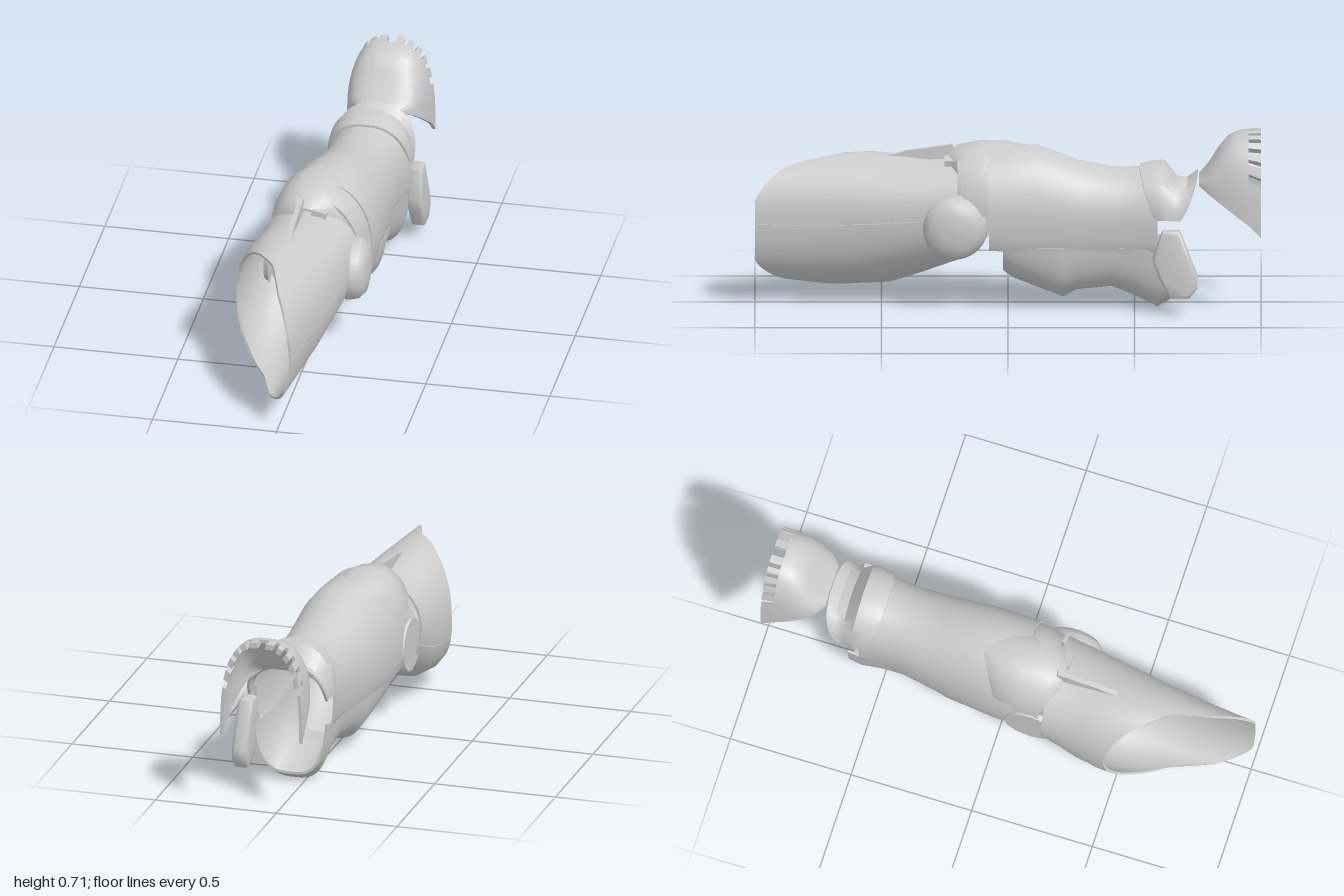
import * as THREE from 'three';
import { toCreasedNormals } from 'three/addons/utils/BufferGeometryUtils.js';

const grey = new THREE.MeshStandardMaterial({ color: 0xcccccc, side: THREE.DoubleSide });
const rad = THREE.MathUtils.degToRad;

// Piecewise linear lookup in [[key, value], ...] with rising keys
function lookup(table, k) {
  for (let i = 1; i < table.length; i++) {
    const [k0, v0] = table[i - 1], [k1, v1] = table[i];
    if (k <= k1) return v0 + (v1 - v0) * Math.max(0, (k - k0) / (k1 - k0));
  }
  return table[table.length - 1][1];
}

// Point of a section [z, cx, rx, cy, top radius, bottom radius] at an angle
function sectionPoint([z, cx, rx, cy, top, bottom], a, power, inset) {
  const c = Math.cos(a), s = Math.sin(a);
  const ry = s > 0 ? top : bottom;
  const bend = v => Math.sign(v) * Math.pow(Math.abs(v), power);
  return new THREE.Vector3(cx + (rx - inset) * bend(c), cy + (ry - inset) * bend(s), z);
}

// Plate with thickness, lofted through sections over an arc of angles (degrees)
function plate(name, sections, from, to, { power = 1, wall = 0.01, warp = null, steps = 40 } = {}) {
  const rows = [...sections.map(s => [s, 0]), ...sections.slice().reverse().map(s => [s, wall])];
  const pos = [], index = [], w = steps + 1, n = sections.length;
  for (const [section, inset] of rows) {
    for (let i = 0; i <= steps; i++) {
      const a = rad(from + (to - from) * i / steps);
      const p = sectionPoint(section, a, power, inset);
      if (warp) warp(p, a);
      pos.push(p.x, p.y, p.z);
    }
  }
  // skin, wrapped over both end rims
  for (let r = 0; r < rows.length; r++) {
    const q = (r + 1) % rows.length;
    for (let i = 0; i < steps; i++) {
      const a = r * w + i, b = q * w + i;
      index.push(a, a + 1, b, b, a + 1, b + 1);
    }
  }
  // strips closing the two long edges
  for (let r = 0; r < n - 1; r++) {
    const inner = rows.length - 1 - r;
    const e = [r * w, (r + 1) * w, inner * w, (inner - 1) * w];
    index.push(e[0], e[1], e[2], e[2], e[1], e[3]);
    const f = e.map(v => v + steps);
    index.push(f[0], f[2], f[1], f[2], f[3], f[1]);
  }
  const g = new THREE.BufferGeometry();
  g.setAttribute('position', new THREE.Float32BufferAttribute(pos, 3));
  g.setIndex(index);
  return mesh(name, toCreasedNormals(g, 0.7));
}

function mesh(name, geometry) {
  const m = new THREE.Mesh(geometry, grey);
  m.name = name;
  return m;
}

export function createModel() {
  const group = new THREE.Group();

  // Front shell: the first value is the share of the way to the slanted rim
  const rimZ = [[-0.27, 0.47], [-0.18, 0.56], [-0.08, 0.69], [-0.02, 0.87], [0.05, 1]];
  const shell = [
    [0, -0.027, 0.203, 0.37, 0.2, 0.2],
    [0.25, -0.047, 0.192, 0.35, 0.215, 0.235],
    [0.5, -0.07, 0.182, 0.335, 0.245, 0.265],
    [0.8, -0.095, 0.17, 0.325, 0.262, 0.268],
    [1, -0.105, 0.165, 0.325, 0.255, 0.255],
  ];
  const slant = (p, a) => {
    const chin = 0.035 * Math.max(0, -Math.sin(a));
    const end = lookup(rimZ, -0.105 + 0.165 * Math.cos(a) + chin);
    p.z = 0.2 + p.z * (end - 0.2);
  };
  group.add(plate('upperFrontShell', shell, 0, 198.5, { power: 0.95, warp: slant }));
  group.add(plate('lowerFrontShell', shell, 199, 359.7, { power: 0.95, warp: slant }));

  // Thin fin and small bracket on top of the front shell
  const finShape = new THREE.Shape([[0.2, 0.56], [0.5, 0.57], [0.4, 0.6], [0.22, 0.625]]
    .map(([z, y]) => new THREE.Vector2(-z, y)));
  const fin = mesh('topFin', new THREE.ExtrudeGeometry(finShape, { depth: 0.02, bevelEnabled: false }));
  fin.rotation.y = Math.PI / 2;
  fin.position.x = -0.07;
  group.add(fin);
  const bracket = mesh('topBracket', new THREE.BoxGeometry(0.06, 0.04, 0.05));
  bracket.position.set(0.015, 0.565, 0.225);
  bracket.rotation.z = -0.2;
  group.add(bracket);

  // Round joint hub on the left, thin disc on the right
  const hubProfile = [[0.122, 0], [0.13, 0.04], [0.12, 0.08], [0.095, 0.104], [0.05, 0.113], [0, 0.116]]
    .map(p => new THREE.Vector2(...p));
  const hub = mesh('jointHub', new THREE.LatheGeometry(hubProfile, 40));
  hub.rotation.z = -Math.PI / 2;
  hub.position.set(0.1, 0.33, 0.21);
  group.add(hub);
  const disc = mesh('jointDisc', new THREE.CylinderGeometry(0.11, 0.12, 0.02, 12));
  disc.rotation.z = Math.PI / 2;
  disc.position.set(-0.195, 0.32, 0.15);
  group.add(disc);

  // Domed joint cap with a band running down both sides
  group.add(plate('jointCap', [
    [0.24, -0.04, 0.09, 0.42, 0.17, 0.1],
    [0.2, -0.035, 0.15, 0.4, 0.225, 0.1],
    [0.1, -0.035, 0.17, 0.4, 0.243, 0.1],
    [0, -0.03, 0.165, 0.4, 0.24, 0.1],
    [-0.1, -0.02, 0.1, 0.42, 0.205, 0.1],
  ], 15, 165, { power: 0.85 }));
  group.add(plate('jointBand', [
    [0.19, -0.02, 0.185, 0.38, 0.235, 0.2],
    [0.13, -0.01, 0.19, 0.38, 0.255, 0.2],
    [0.08, -0.005, 0.19, 0.38, 0.25, 0.2],
  ], 0, 190, { warp: p => { p.z -= 0.06 * (0.6 - p.y); } }));

  // Rear sleeve: long upper plate over a shorter under plate, parted by a level seam
  group.add(plate('upperRearPlate', [
    [0.075, 0, 0.2, 0.35, 0.275, 0.27],
    [0, 0, 0.2, 0.35, 0.283, 0.27],
    [-0.12, 0.008, 0.193, 0.35, 0.283, 0.28],
    [-0.28, 0.022, 0.178, 0.35, 0.225, 0.28],
    [-0.43, 0.037, 0.16, 0.35, 0.2, 0.29],
    [-0.52, 0.047, 0.16, 0.35, 0.205, 0.32],
    [-0.59, 0.05, 0.168, 0.35, 0.215, 0.34],
  ], -24, 204, { power: 0.95, warp: p => { p.y = Math.max(p.y, 0.242 + 0.02 * p.z); } }));
  group.add(plate('lowerRearPlate', [
    [0.02, 0.005, 0.18, 0.35, 0.2, 0.21],
    [-0.02, 0.005, 0.184, 0.35, 0.2, 0.24],
    [-0.12, 0.015, 0.18, 0.35, 0.2, 0.278],
    [-0.22, 0.025, 0.17, 0.35, 0.2, 0.315],
    [-0.27, 0.028, 0.165, 0.35, 0.2, 0.285],
    [-0.41, 0.04, 0.152, 0.35, 0.2, 0.27],
    [-0.5, 0.048, 0.152, 0.35, 0.2, 0.305],
    [-0.59, 0.054, 0.158, 0.35, 0.2, 0.35],
    [-0.64, 0.056, 0.158, 0.35, 0.2, 0.32],
  ], 189, 351, { power: 0.68, warp: p => { p.y = Math.min(p.y, 0.255); } }));

  // Saddle-shaped cuff, narrower down the sides
  group.add(plate('rearCuff', [
    [-0.52, 0.05, 0.165, 0.36, 0.205, 0.1],
    [-0.57, 0.05, 0.172, 0.36, 0.217, 0.1],
    [-0.62, 0.05, 0.174, 0.36, 0.22, 0.1],
    [-0.67, 0.05, 0.16, 0.36, 0.155, 0.1],
    [-0.71, 0.05, 0.16, 0.36, 0.15, 0.1],
    [-0.75, 0.05, 0.165, 0.36, 0.182, 0.1],
  ], 2, 178, {
    power: 0.85,
    warp: (p, a) => { p.z = -0.63 + (p.z + 0.63) * (0.3 + 0.7 * Math.sqrt(Math.sin(a))); },
  }));

  // Rounded tab standing off the left side
  const tabShape = new THREE.Shape([[0.585, 0.22], [0.62, 0.32], [0.67, 0.32], [0.735, 0.15],
    [0.735, 0.11], [0.71, 0.08], [0.65, 0.08], [0.61, 0.15]].map(p => new THREE.Vector2(...p)));
  const tab = mesh('sideTab', toCreasedNormals(new THREE.ExtrudeGeometry(tabShape, {
    depth: 0.034, bevelSize: 0.014, bevelThickness: 0.014, bevelSegments: 3,
  }), 0.9));
  tab.rotation.set(0, Math.PI / 2, 0.03, 'ZYX');
  tab.position.x = 0.221;
  group.add(tab);

  // Arched end cap, open below and behind
  const capStyle = { power: 0.7, wall: 0.014 };
  const capEdge = [-0.95, 0.062, 0.168, 0.355, 0.352, 0.1];
  const rim = [-1, 0.062, 0.17, 0.305, 0.405, 0.1];
  group.add(plate('endCap', [
    [-0.755, 0.06, 0.09, 0.5, 0.025, 0.1],
    [-0.79, 0.06, 0.13, 0.475, 0.09, 0.1],
    [-0.83, 0.06, 0.148, 0.445, 0.185, 0.1],
    [-0.87, 0.06, 0.158, 0.415, 0.265, 0.1],
    [-0.91, 0.062, 0.165, 0.385, 0.315, 0.1],
    capEdge,
  ], 0, 180, capStyle));

  // Notched rim: solid at both feet, separate teeth over the arch
  const rimBand = new THREE.Group();
  rimBand.name = 'notchedRim';
  const addRim = (name, from, to, steps, wall) =>
    rimBand.add(plate(name, [capEdge, rim], from, to, { ...capStyle, steps, wall }));
  addRim('rimFoot', 0, 22, 8, 0.014);
  addRim('rimFoot', 158, 180, 8, 0.014);
  for (let i = 0; i < 10; i++) addRim('rimTooth', 27.5 + 13 * i, 35.5 + 13 * i, 4, 0.022);
  group.add(rimBand);
  return group;
}
